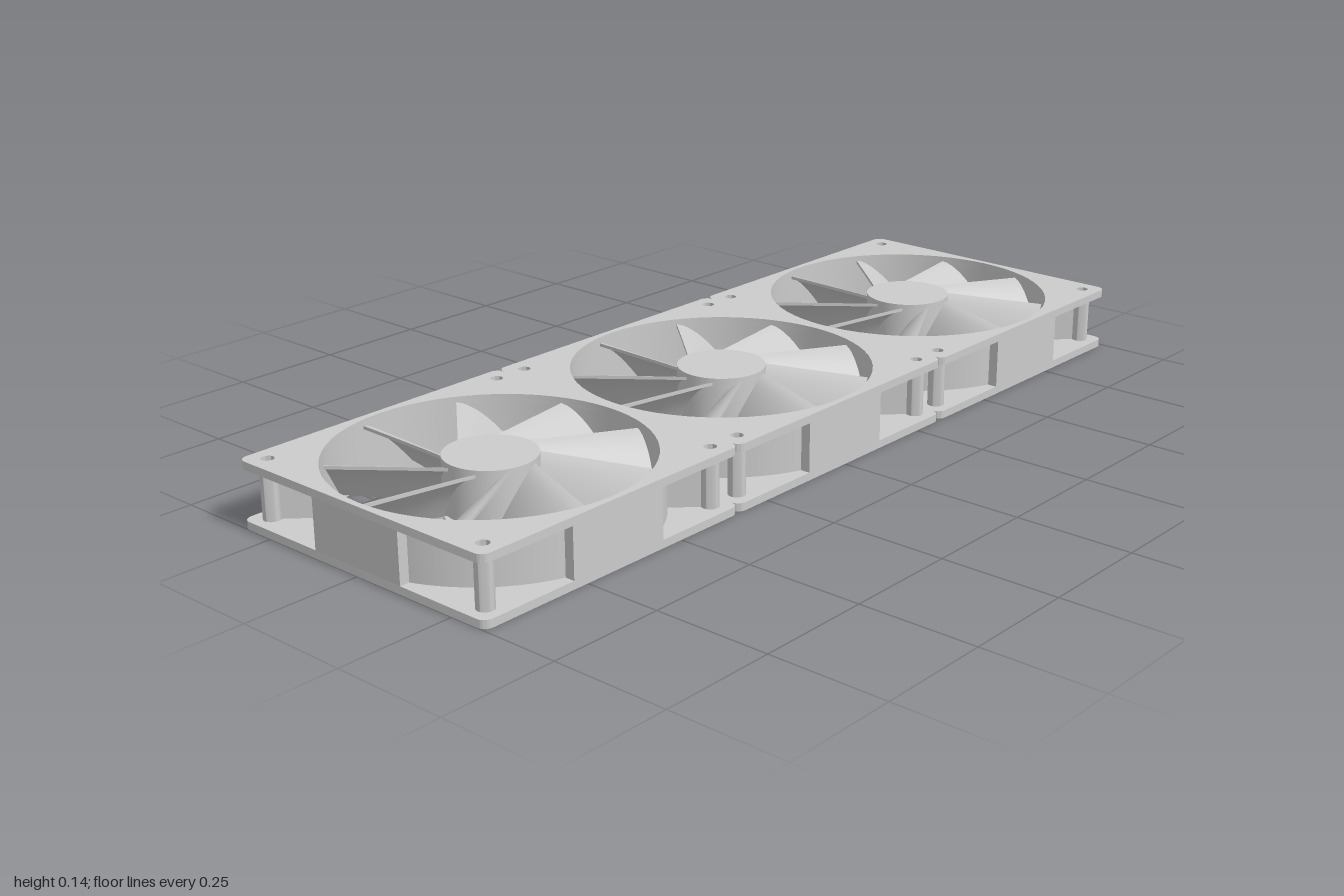
import * as THREE from 'three';
import { toCreasedNormals } from 'three/addons/utils/BufferGeometryUtils.js';

const HALF = 1 / 3;      // half width of one fan frame
const HEIGHT = 0.14;
const PLATE = 0.017;     // flange thickness
const BORE = 0.32;       // radius of the air opening
const SCREW = 0.294;     // screw hole offset from the fan centre
const FLAT = 0.117;      // half length of the flat side walls
const BLADES = 9;

const material = new THREE.MeshStandardMaterial({ color: 0xcccccc });

function addMesh(parent, name, geometry, x = 0, y = 0, z = 0) {
  const mesh = new THREE.Mesh(geometry, material);
  mesh.name = name;
  mesh.position.set(x, y, z);
  parent.add(mesh);
  return mesh;
}

function circle(x, y, r) {
  return new THREE.Path().absarc(x, y, r, 0, Math.PI * 2, true);
}

// extrude a plan outline upwards along y
function slab(shape, depth) {
  const geometry = new THREE.ExtrudeGeometry(shape, { depth, bevelEnabled: false, curveSegments: 32 });
  return toCreasedNormals(geometry.rotateX(-Math.PI / 2), 0.6);
}

// rounded square plate with the air opening and four screw holes
function flangeGeometry() {
  const shape = new THREE.Shape();
  const r = 0.02, c = HALF - r;
  [[1, 1], [-1, 1], [-1, -1], [1, -1]].forEach(([sx, sy], i) =>
    shape.absarc(sx * c, sy * c, r, i * Math.PI / 2, (i + 1) * Math.PI / 2, false));
  shape.closePath();
  shape.holes.push(circle(0, 0, BORE));
  for (const sx of [-1, 1]) for (const sy of [-1, 1])
    shape.holes.push(circle(sx * SCREW, sy * SCREW, 0.013));
  return slab(shape, PLATE);
}

// ring wall with a raised flat on each of its four sides
function wallGeometry() {
  const shape = new THREE.Shape();
  const a = Math.asin(FLAT / HALF);
  for (let i = 0; i < 4; i++) {
    const t = i * Math.PI / 2, cos = Math.cos(t), sin = Math.sin(t);
    for (const s of [-FLAT, FLAT]) {
      const x = HALF * cos - s * sin, y = HALF * sin + s * cos;
      if (i === 0 && s < 0) shape.moveTo(x, y);
      else shape.lineTo(x, y);
    }
    shape.absarc(0, 0, HALF, t + a, t + Math.PI / 2 - a, false);
  }
  shape.closePath();
  shape.holes.push(circle(0, 0, BORE));
  return slab(shape, HEIGHT - 2 * PLATE);
}

// hollow screw post
function postGeometry() {
  const shape = new THREE.Shape().absarc(0, 0, 0.018, 0, Math.PI * 2, false);
  shape.holes.push(circle(0, 0, 0.013));
  return slab(shape, HEIGHT - 2 * PLATE);
}

// blade pointing to -z: a subdivided box widened to the tip and curved downwards
function bladeGeometry() {
  const geometry = new THREE.BoxGeometry(1, 1, 1, 10, 1, 6);
  const p = geometry.attributes.position;
  for (let i = 0; i < p.count; i++) {
    const u = p.getX(i) + 0.5, v = 0.5 - p.getZ(i);
    const r = THREE.MathUtils.lerp(0.085, 0.311, v);
    const s = THREE.MathUtils.lerp(-0.07 - 0.035 * v, 0.01, u);
    const y = 0.128 - 0.1 * Math.pow(u, 1.5) + p.getY(i) * 0.007;
    p.setXYZ(i, s, y, -Math.sqrt(r * r - s * s));
  }
  return toCreasedNormals(geometry, 0.6);
}

export function createModel() {
  const model = new THREE.Group();
  model.name = 'tripleFan';
  const flange = flangeGeometry(), wall = wallGeometry();
  const post = postGeometry(), blade = bladeGeometry();
  const web = new THREE.BoxGeometry(0.072, HEIGHT - 2 * PLATE, 0.006);
  const strut = new THREE.BoxGeometry(0.25, 0.02, 0.02);
  const hub = new THREE.CylinderGeometry(0.094, 0.094, 0.11, 64);
  const base = new THREE.CylinderGeometry(0.094, 0.094, 0.02, 64);

  for (const k of [-1, 0, 1]) {
    const fan = new THREE.Group();
    fan.name = 'fan';
    fan.position.z = k * 2 * HALF;
    model.add(fan);

    // frame
    addMesh(fan, 'bottomFlange', flange);
    addMesh(fan, 'topFlange', flange, 0, HEIGHT - PLATE);
    addMesh(fan, 'ringWall', wall, 0, PLATE);

    // corner posts, webs and the struts carrying the motor base
    for (let i = 0; i < 4; i++) {
      const corner = new THREE.Group();
      corner.name = 'corner';
      corner.rotation.y = Math.PI / 4 + i * Math.PI / 2;
      addMesh(corner, 'screwPost', post, SCREW * Math.SQRT2, PLATE);
      addMesh(corner, 'cornerWeb', web, 0.365, HEIGHT / 2);
      addMesh(corner, 'strut', strut, 0.202, 0.01);
      fan.add(corner);
    }
    addMesh(fan, 'motorBase', base, 0, 0.01);

    // rotor
    const rotor = new THREE.Group();
    rotor.name = 'rotor';
    addMesh(rotor, 'hub', hub, 0, 0.085);
    for (let i = 0; i < BLADES; i++)
      addMesh(rotor, 'blade', blade).rotation.y = i * Math.PI * 2 / BLADES;
    fan.add(rotor);
  }
  return model;
}
